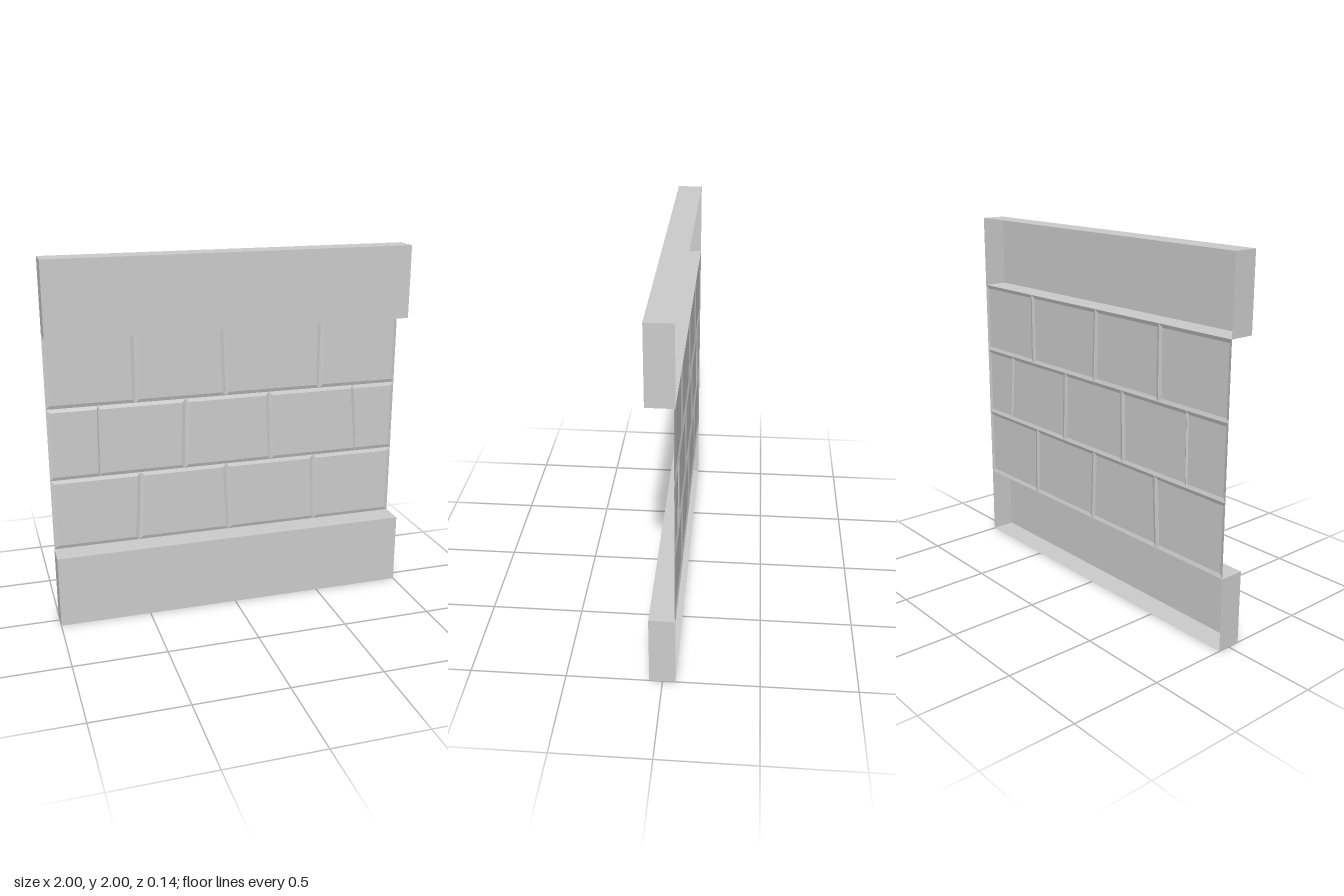
import * as THREE from 'three';

const BACK = -0.068, FRONT = 0.068; // depth limits
const FACE = -0.061;                // raised face of the blocks
const BEVEL = 0.02;

const material = new THREE.MeshStandardMaterial({
  color: 0xcccccc, flatShading: true, side: THREE.DoubleSide,
});

// Beam shell: a box left open at the back
function beam(name, y) {
  const geometry = new THREE.BoxGeometry(2, 0.4, FRONT - BACK);
  geometry.setIndex(Array.from(geometry.index.array).slice(0, 30));
  geometry.clearGroups();
  const mesh = new THREE.Mesh(geometry, material);
  mesh.name = name;
  mesh.position.y = y;
  return mesh;
}

// Thin bevelled block between two slanted joints, each { bottom, top, bevel }
function block(left, right, y0, y1) {
  const ring = (k, z) => [
    left.bottom + left.bevel * k, y0 + BEVEL * k, z,
    right.bottom - right.bevel * k, y0 + BEVEL * k, z,
    right.top - right.bevel * k, y1 - BEVEL * k, z,
    left.top + left.bevel * k, y1 - BEVEL * k, z,
  ];
  const index = [4, 5, 6, 4, 6, 7];
  for (let i = 0; i < 4; i++) {
    const j = (i + 1) % 4;
    index.push(i, j, j + 4, i, j + 4, i + 4);
  }
  const geometry = new THREE.BufferGeometry();
  geometry.setAttribute('position',
    new THREE.Float32BufferAttribute([...ring(0, BACK), ...ring(1, FACE)], 3));
  geometry.setIndex(index);
  const flat = geometry.toNonIndexed();
  flat.computeVertexNormals();
  return new THREE.Mesh(flat, material);
}

const joint = (bottom, top, bevel = BEVEL) => ({ bottom, top, bevel });

export function createModel() {
  const model = new THREE.Group();
  model.name = 'blockWallPanel';
  model.add(beam('bottomBeam', 0.2), beam('topBeam', 1.8));

  // Vertical joints of each course, bottom to top
  const courses = [
    [joint(-0.525, -0.505), joint(0, -0.015), joint(0.52, 0.508)],
    [joint(-0.73, -0.725, 0.008), joint(-0.255, -0.245), joint(0.25, 0.235),
      joint(0.772, 0.74, 0.008)],
    [joint(-0.522, -0.52), joint(-0.017, -0.03), joint(0.535, 0.535)],
  ];
  courses.forEach((inner, row) => {
    const course = new THREE.Group();
    course.name = `blockCourse${row + 1}`;
    const joints = [joint(-1, -1), ...inner, joint(1, 1)];
    const y = 0.4 + row * 0.4;
    for (let i = 0; i < joints.length - 1; i++) {
      const mesh = block(joints[i], joints[i + 1], y, y + 0.4);
      mesh.name = `block${i + 1}`;
      course.add(mesh);
    }
    model.add(course);
  });
  return model;
}
